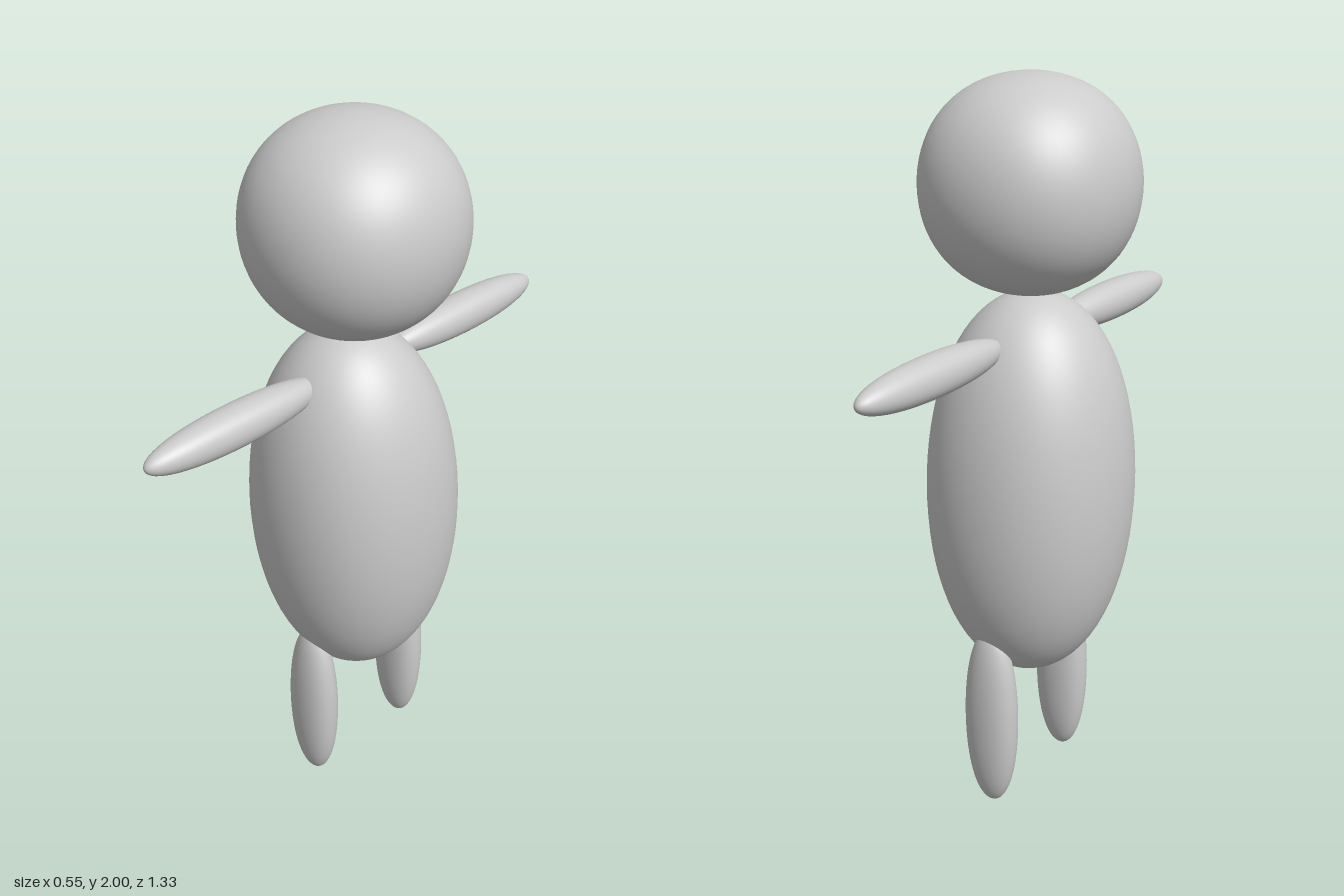
import * as THREE from 'three';
import { mergeVertices } from 'three/addons/utils/BufferGeometryUtils.js';

// A ball with the slight squareness of a smoothed cube, radius 1 along each axis
function softBall() {
  const sphere = new THREE.SphereGeometry(1, 64, 40);
  sphere.deleteAttribute('uv');
  sphere.deleteAttribute('normal');
  const geometry = mergeVertices(sphere, 1e-5);
  const pos = geometry.attributes.position;
  const v = new THREE.Vector3();
  for (let i = 0; i < pos.count; i++) {
    v.fromBufferAttribute(pos, i).normalize();
    const s = v.x ** 4 + v.y ** 4 + v.z ** 4;
    v.multiplyScalar(1 + 0.054 * (1 - s));
    pos.setXYZ(i, v.x, v.y, v.z);
  }
  geometry.computeVertexNormals();
  return geometry;
}

export function createModel() {
  const model = new THREE.Group();
  model.name = 'figure';
  const ball = softBall();
  const grey = new THREE.MeshStandardMaterial({ color: 0xcccccc });

  const addPart = (name, radii, position) => {
    const mesh = new THREE.Mesh(ball, grey);
    mesh.name = name;
    mesh.scale.set(...radii);
    mesh.position.set(...position);
    model.add(mesh);
    return mesh;
  };

  addPart('head', [0.274, 0.273, 0.274], [0, 1.727, 0]);

  // Body leans very slightly forward
  const body = addPart('body', [0.274, 0.54, 0.274], [0, 0.914, 0.003]);
  body.rotation.x = 0.03;

  // Arms stretch out along z, legs hang below them
  addPart('frontArm', [0.054, 0.053, 0.272], [0.005, 1.337, 0.394]);
  addPart('backArm', [0.054, 0.053, 0.272], [0.005, 1.337, -0.394]);
  addPart('frontLeg', [0.08, 0.273, 0.054], [0.005, 0.273, 0.168]);
  addPart('backLeg', [0.08, 0.273, 0.054], [0.005, 0.273, -0.179]);

  return model;
}
